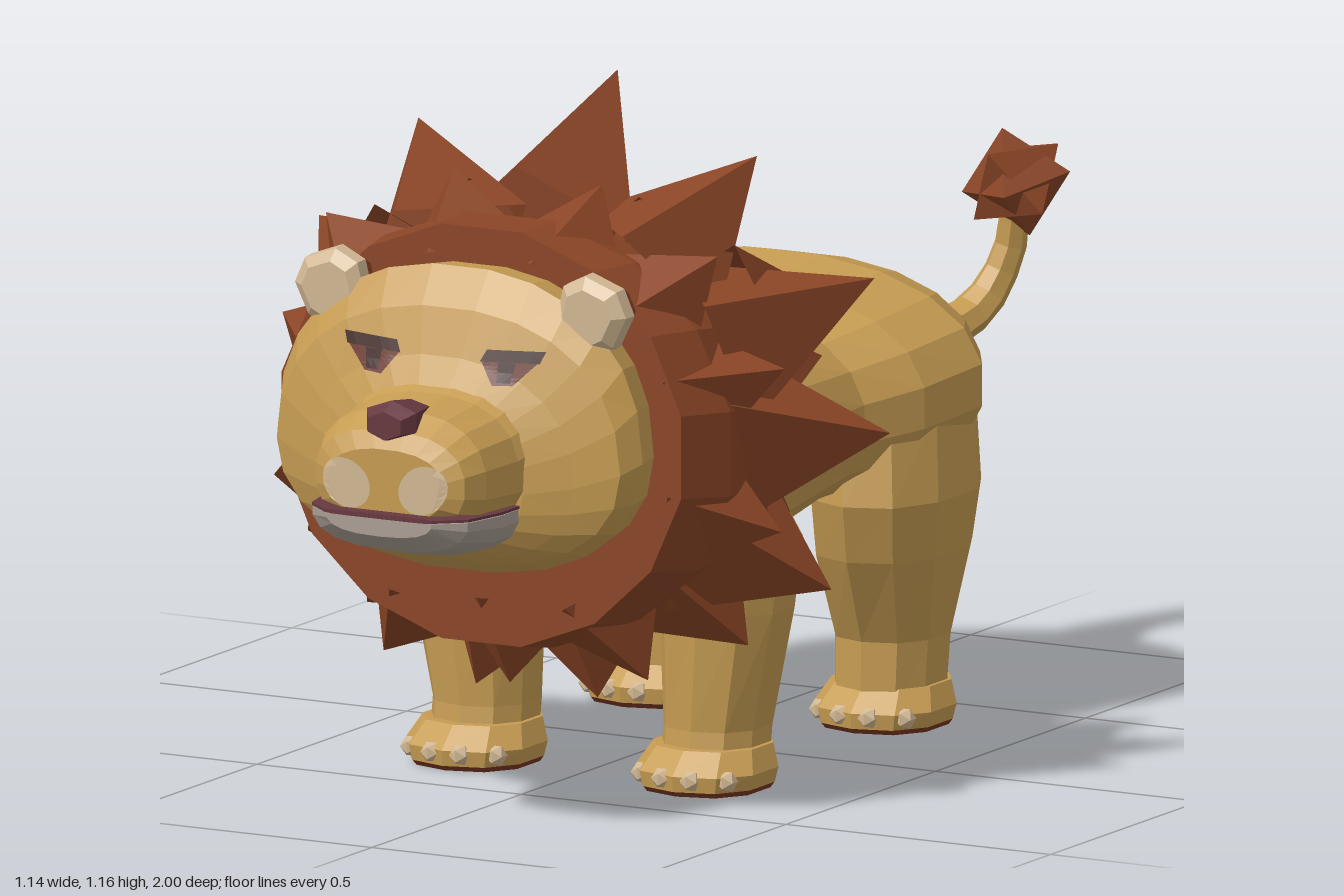
import * as THREE from 'three';

const mat = (name, color) => new THREE.MeshStandardMaterial({ name, color, flatShading: true, side: THREE.DoubleSide });
const tan = mat('tan fur', 0xc69c52);
const maneBrown = mat('mane brown', 0x8a4526);
const pale = mat('pale fur', 0xd2b894);
const grey = mat('grey underside', 0xaa9e95);
const noseColor = mat('nose plum', 0x673840);
const eyeColor = mat('eye red brown', 0x6a2f20);
const dark = mat('dark brown', 0x3c1a12);
const padColor = mat('pad brown', 0x7a3620);

function mesh(name, geo, material, parent) {
  const m = new THREE.Mesh(geo, material);
  m.name = name;
  parent.add(m);
  return m;
}

// Closed skin through rounded sections [position, centreA, centreB, radiusA, radiusB] along z or y.
// Along z: centre (x, y). Along y: centre (x, z). Sections run in rising order.
function loft(sections, { axis = 'z', sides = 16, power = 2, floor = -9, ceil = 9, taper = 0 } = {}) {
  const pos = [], idx = [];
  const round = v => Math.sign(v) * Math.pow(Math.abs(v), 2 / power);
  for (const [p, ca, cb, ra, rb] of sections) {
    for (let j = 0; j < sides; j++) {
      const t = (j + 0.5) / sides * Math.PI * 2;
      const b = round(Math.sin(t));
      const a = ca + ra * round(Math.cos(t)) * (1 - taper * b);
      if (axis === 'z') pos.push(a, Math.min(ceil, Math.max(floor, cb + rb * b)), p);
      else pos.push(a, p, cb - rb * b);
    }
  }
  const last = sections.length - 1;
  for (let i = 0; i < last; i++) for (let j = 0; j < sides; j++) {
    const k = (j + 1) % sides, a = i * sides, d = a + sides;
    idx.push(a + j, a + k, d + k, a + j, d + k, d + j);
  }
  for (let j = 1; j < sides - 1; j++) {
    idx.push(0, j + 1, j);
    idx.push(last * sides, last * sides + j, last * sides + j + 1);
  }
  const g = new THREE.BufferGeometry();
  g.setAttribute('position', new THREE.Float32BufferAttribute(pos, 3));
  g.setIndex(idx);
  const flat = g.toNonIndexed();
  flat.computeVertexNormals();
  return flat;
}

// Thin painted patch: a four-cornered grid laid on a surface, from the front or from below.
function patch(name, target, corners, material, parent, { below = false, lift = 0.005, n = 6, rounded = false } = {}) {
  const dir = below ? new THREE.Vector3(0, 1, 0) : new THREE.Vector3(0, 0, -1);
  const ray = new THREE.Raycaster();
  const geo = new THREE.PlaneGeometry(2, 2, n, n);
  const p = geo.attributes.position;
  const [a, b, c, d] = corners.map(q => new THREE.Vector2(...q));
  for (let i = 0; i < p.count; i++) {
    const x = p.getX(i), y = p.getY(i);
    const u = (x * (rounded ? Math.sqrt(1 - y * y / 2) : 1) + 1) / 2;
    const v = (y * (rounded ? Math.sqrt(1 - x * x / 2) : 1) + 1) / 2;
    const q = a.clone().lerp(b, u).lerp(d.clone().lerp(c, u), v);
    const start = below ? new THREE.Vector3(q.x, -1, q.y) : new THREE.Vector3(q.x, q.y, 2);
    ray.set(start, dir);
    const hit = ray.intersectObject(target)[0];
    const s = hit ? hit.point : start.set(q.x, below ? 0.45 : q.y, below ? q.y : 0.8);
    s.addScaledVector(dir, -lift);
    p.setXYZ(i, s.x, s.y, s.z);
  }
  geo.computeVertexNormals();
  return mesh(name, geo, material, parent);
}

function addLeg(parent, name, side, cz, sections) {
  const leg = new THREE.Group();
  leg.name = name;
  parent.add(leg);
  mesh('limb', loft(sections.map(([y, x, z, rx, rz]) => [y, x * side, z, rx, rz]), { axis: 'y', sides: 10, power: 2.3 }), tan, leg);
  const x = 0.218 * side;
  mesh('paw', loft([[0.009, x, cz, 0.108, 0.115], [0.035, x, cz, 0.115, 0.118], [0.072, x, cz - 0.02, 0.097, 0.1]],
    { axis: 'y', sides: 10, power: 2.3 }), tan, leg);
  mesh('pad', loft([[0, x, cz, 0.102, 0.106], [0.009, x, cz, 0.108, 0.114]], { axis: 'y', sides: 10, power: 2.3 }), padColor, leg);
  for (let i = 0; i < 4; i++) {
    const t = (i - 1.5) / 1.5;
    const claw = mesh('claw', new THREE.IcosahedronGeometry(0.019, 0), pale, leg);
    claw.position.set(x + t * 0.08, 0.028, cz + 0.107 - 0.03 * t * t);
  }
}

function addMane(parent) {
  const mane = new THREE.Group();
  mane.name = 'mane';
  parent.add(mane);
  mesh('maneCore', loft([[0.24, 0, 0.6, 0.29, 0.2], [0.33, 0, 0.61, 0.36, 0.28], [0.43, 0, 0.62, 0.415, 0.34],
    [0.56, 0, 0.625, 0.425, 0.365], [0.655, 0, 0.632, 0.385, 0.355]], { sides: 16 }), maneBrown, mane);
  // Rows of tufts: base depth, share of the tip's reach, width, tips for one side (x = 0 is single)
  const rows = [
    [0.54, 0.66, 0.13, [[0.14, 1.04, 0.5], [0.37, 0.945, 0.52], [0.475, 0.76, 0.48], [0.48, 0.49, 0.5], [0.25, 0.225, 0.54], [0, 0.2, 0.56]]],
    [0.43, 0.6, 0.16, [[0, 1.165, 0.2], [0.32, 1.07, 0.3], [0.525, 0.88, 0.27], [0.572, 0.63, 0.3], [0.495, 0.37, 0.36], [0.36, 0.27, 0.4], [0.115, 0.17, 0.47]]],
    [0.38, 0.86, 0.14, [[0.075, 0.738, 0.02], [0.2, 0.74, 0.08], [0.33, 0.7, 0.1], [0.35, 0.6, 0.07], [0.36, 0.47, 0.26], [0.36, 0.84, 0.2], [0.17, 0.91, 0.2]]],
  ];
  const up = new THREE.Vector3(0, 1, 0);
  for (const [zb, k, w, tips] of rows) for (const [x, y, z] of tips) for (const s of x ? [1, -1] : [1]) {
    const tip = new THREE.Vector3(x * s, y, z);
    const base = new THREE.Vector3(x * s * k, 0.62 + (y - 0.62) * k, zb);
    const dir = tip.clone().sub(base), len = dir.length();
    const tuft = mesh('maneTuft', new THREE.ConeGeometry(w, len, 4, 1, true).translate(0, len / 2, 0), maneBrown, mane);
    tuft.position.copy(base);
    tuft.quaternion.setFromUnitVectors(up, dir.normalize());
  }
}

function addHead(parent) {
  const head = new THREE.Group();
  head.name = 'head';
  parent.add(head);
  const skull = mesh('skull', loft([[0.55, 0, 0.66, 0.29, 0.22], [0.66, 0, 0.672, 0.325, 0.25], [0.725, 0, 0.674, 0.342, 0.256],
    [0.765, 0, 0.652, 0.322, 0.215], [0.79, 0, 0.62, 0.25, 0.17], [0.82, 0, 0.6, 0.17, 0.13]],
    { sides: 24, power: 2.3, taper: 0.09 }), tan, head);
  const muzzle = mesh('muzzle', loft([[0.77, 0, 0.62, 0.19, 0.145], [0.83, 0, 0.61, 0.17, 0.125], [0.92, 0, 0.61, 0.16, 0.112],
    [0.96, 0, 0.61, 0.142, 0.085], [0.975, 0, 0.605, 0.11, 0.06]], { sides: 20, power: 2.4, floor: 0.56 }), tan, head);
  mesh('jaw', loft([[0.78, 0, 0.553, 0.165, 0.085], [0.88, 0, 0.553, 0.166, 0.08], [0.96, 0, 0.553, 0.148, 0.06],
    [0.998, 0, 0.553, 0.1, 0.03]], { sides: 18, power: 2.5, ceil: 0.553 }), grey, head);
  mesh('mouth', loft([[0.8, 0, 0.557, 0.168, 0.004], [0.88, 0, 0.557, 0.168, 0.004], [0.96, 0, 0.557, 0.15, 0.004], [1, 0, 0.557, 0.102, 0.004]],
    { sides: 12, power: 5 }), noseColor, head);
  mesh('nose', loft([[0.89, 0, 0.717, 0.04, 0.018], [0.955, 0, 0.71, 0.054, 0.034], [0.98, 0, 0.705, 0.036, 0.024]], { sides: 6 }), noseColor, head);
  for (const s of [1, -1]) {
    const flip = pts => pts.map(([x, y]) => [x * s, y]);
    const face = new THREE.Group();
    face.add(skull.clone(), muzzle.clone());
    patch('eye', face, flip([[0.105, 0.752], [0.14, 0.754], [0.178, 0.792], [0.078, 0.788]]), eyeColor, head);
    patch('brow', face, flip([[0.075, 0.788], [0.182, 0.792], [0.19, 0.812], [0.085, 0.808]]), dark, head);
    patch('pupil', face, flip([[0.112, 0.758], [0.136, 0.758], [0.142, 0.79], [0.11, 0.79]]), dark, head, { lift: 0.008, n: 2 });
    patch('whiskerPatch', muzzle, flip([[0.02, 0.562], [0.11, 0.562], [0.125, 0.645], [0.035, 0.645]]), pale, head, { rounded: true });

    // Ear: brown back, pale front half, wider at the top
    const ear = new THREE.Group();
    ear.name = 'ear';
    ear.position.set(0.244 * s, 0.866, 0.695);
    ear.rotation.z = -0.35 * s;
    head.add(ear);
    const shape = { sides: 8, power: 2.3, taper: -0.12 };
    mesh('earBack', loft([[-0.04, 0, 0, 0.045, 0.045], [0.005, 0, 0, 0.066, 0.069]], shape), maneBrown, ear);
    mesh('earFront', loft([[0.005, 0, 0, 0.066, 0.069], [0.03, 0, 0, 0.064, 0.066], [0.045, 0, 0, 0.045, 0.047]], shape), pale, ear);
  }
}

function addTail(parent) {
  const points = [[0.006, 0.62, -0.48], [0.008, 0.62, -0.6], [0.018, 0.585, -0.7], [0.04, 0.553, -0.8], [0.07, 0.585, -0.89],
    [0.1, 0.67, -0.93], [0.115, 0.77, -0.925]].map(p => new THREE.Vector3(...p));
  const curve = new THREE.CatmullRomCurve3(points);
  const rings = 14, sides = 7;
  const geo = new THREE.TubeGeometry(curve, rings, 1, sides);
  const p = geo.attributes.position;
  // Taper the tube, broad at the root
  for (let i = 0; i < p.count; i++) {
    const t = Math.floor(i / (sides + 1)) / rings, c = curve.getPointAt(t);
    const r = 0.024 + 0.024 * (1 - t), wide = 1 + 1.1 * Math.max(0, 1 - t * 1.3);
    p.setXYZ(i, c.x + (p.getX(i) - c.x) * r * wide, c.y + (p.getY(i) - c.y) * r, c.z + (p.getZ(i) - c.z) * r);
  }
  geo.computeVertexNormals();
  mesh('tail', geo, tan, parent);
  // Spiky tuft from two crossed eight-sided solids
  const tuft = new THREE.Group();
  tuft.name = 'tailTuft';
  tuft.position.set(0.122, 0.79, -0.915);
  parent.add(tuft);
  for (const [rx, ry] of [[0.1, 0.3], [0.75, 0.9]]) {
    mesh('tuftHair', new THREE.OctahedronGeometry(0.094), maneBrown, tuft).rotation.set(rx, ry, 0.2);
  }
}

export function createModel() {
  const root = new THREE.Group();
  root.name = 'lion';
  const lion = new THREE.Group();
  lion.name = 'animal';
  lion.position.x = 0.012;
  root.add(lion);

  const body = mesh('body', loft([[-0.59, 0, 0.6, 0.1, 0.05], [-0.545, 0, 0.575, 0.21, 0.115], [-0.46, 0, 0.575, 0.315, 0.165],
    [-0.35, 0, 0.575, 0.382, 0.19], [-0.2, 0, 0.56, 0.358, 0.187], [-0.1, 0, 0.545, 0.3, 0.175], [0.1, 0, 0.53, 0.292, 0.205],
    [0.3, 0, 0.555, 0.295, 0.235], [0.5, 0, 0.58, 0.27, 0.22]], { sides: 20, power: 2.2 }), tan, lion);
  patch('belly', body, [[-0.1, -0.3], [0.1, -0.3], [0.21, 0.16], [-0.21, 0.16]], grey, lion, { below: true, n: 12 });

  for (const s of [1, -1]) {
    const side = s > 0 ? 'Left' : 'Right';
    addLeg(lion, 'front' + side + 'Leg', s, 0.285, [[0.03, 0.218, 0.26, 0.088, 0.09], [0.1, 0.218, 0.25, 0.088, 0.092],
      [0.3, 0.235, 0.25, 0.112, 0.102], [0.42, 0.24, 0.25, 0.122, 0.108], [0.55, 0.18, 0.25, 0.09, 0.11]]);
    addLeg(lion, 'hind' + side + 'Leg', s, -0.31, [[0.03, 0.218, -0.325, 0.088, 0.1], [0.15, 0.22, -0.33, 0.092, 0.105],
      [0.3, 0.24, -0.3, 0.115, 0.16], [0.4, 0.252, -0.285, 0.122, 0.178], [0.55, 0.235, -0.3, 0.125, 0.17], [0.65, 0.17, -0.31, 0.09, 0.13]]);
  }
  addMane(lion);
  addHead(lion);
  addTail(lion);
  return root;
}
